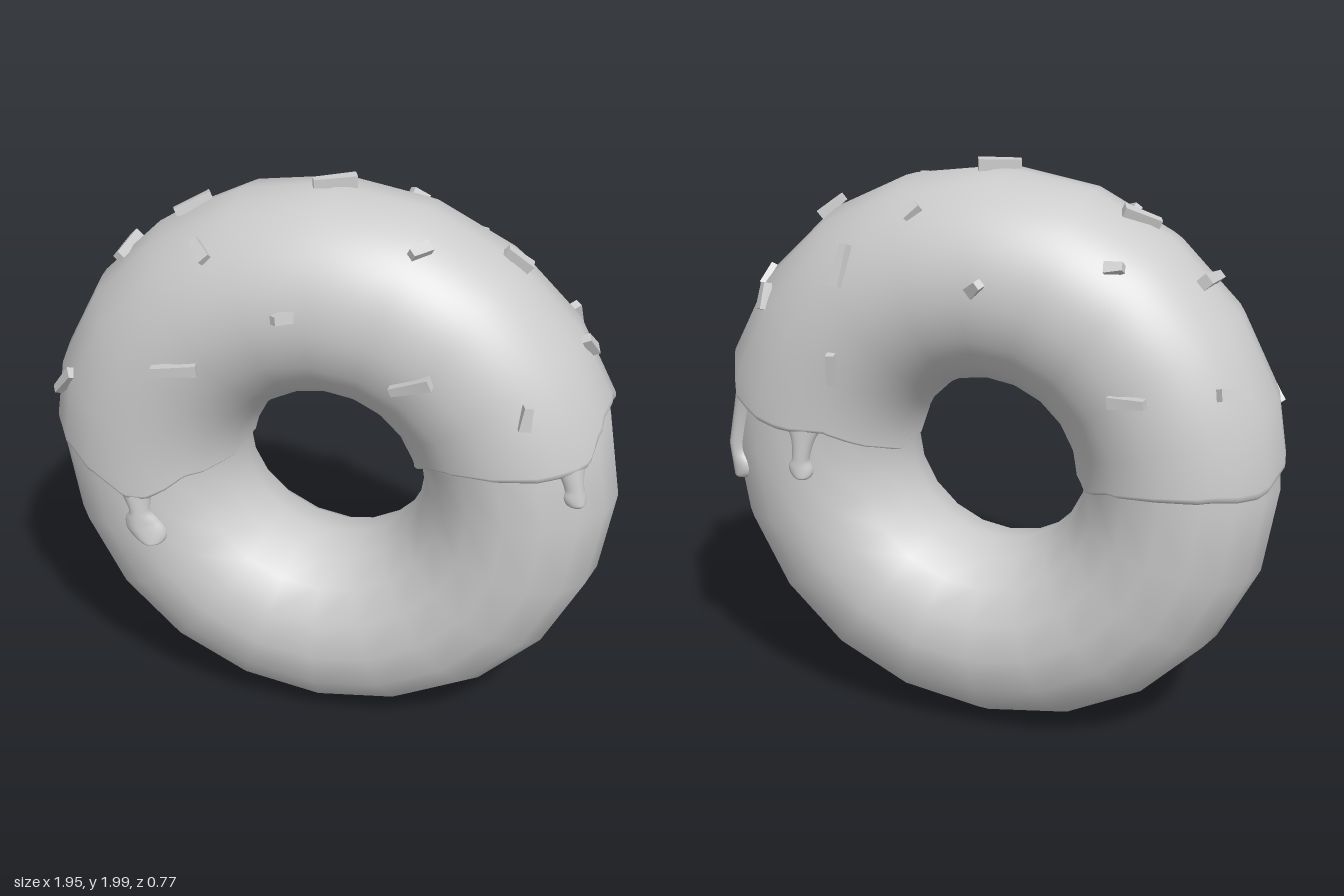
import * as THREE from 'three';

const R = 0.645, r = 0.325, RING = 20, TUBE = 16, ICE = 0.027;
const CENTER = new THREE.Vector3(0.012, 0.97, -0.01);
const rad = THREE.MathUtils.degToRad;
const gray = (extra = {}) => new THREE.MeshStandardMaterial({ color: 0xcccccc, ...extra });

// How far a regular polygon lies inside its circle at a given angle
function polygon(angle, n) {
  const step = (2 * Math.PI) / n;
  const a = ((angle % step) + step) % step;
  return Math.cos(step / 2) / Math.cos(a - step / 2);
}

const normalAt = (th, ph) => new THREE.Vector3(
  Math.cos(ph) * Math.cos(th), Math.cos(ph) * Math.sin(th), Math.sin(ph));

// Point above the ring: th runs round the ring, ph round the tube (0 outer, 90 front)
function surface(th, ph, off) {
  const tube = (r + off) * polygon(ph, TUBE);
  const rho = (R + tube * Math.cos(ph)) * polygon(th, RING);
  return new THREE.Vector3(rho * Math.cos(th), rho * Math.sin(th), tube * Math.sin(ph));
}

// Ring angle of a height y on one side (+1 left, -1 right)
function ringAngle(side, ph, y) {
  const a = Math.asin((y - CENTER.y) / (R + r * Math.cos(ph)));
  return side > 0 ? a : Math.PI - a;
}

// Grid of quads; at(i, j) returns [th, ph, off]
function grid(rows, cols, at, smoothFrom) {
  const pos = [], index = [];
  for (let i = 0; i <= rows; i++)
    for (let j = 0; j <= cols; j++) pos.push(...surface(...at(i, j)).toArray());
  for (let i = 0; i < rows; i++)
    for (let j = 0; j < cols; j++) {
      const a = i * (cols + 1) + j, b = a + cols + 1;
      index.push(a, b, a + 1, b, b + 1, a + 1);
    }
  const geo = new THREE.BufferGeometry();
  geo.setAttribute('position', new THREE.Float32BufferAttribute(pos, 3));
  geo.setIndex(index);
  geo.computeVertexNormals();
  // Ring normals away from the rim, so that the facets shade smoothly
  if (smoothFrom)
    for (let i = smoothFrom; i <= rows - smoothFrom; i++)
      for (let j = 0; j <= cols; j++) {
        const [th, ph] = at(i, j);
        geo.attributes.normal.setXYZ(i * (cols + 1) + j, ...normalAt(th, ph).toArray());
      }
  return geo;
}

// Icing edge: [degrees round the tube, height]
const LEFT_EDGE = [[0, 1.3], [15, 1.29], [27, 1.25], [35, 1.18], [55, 1.17], [90, 1.165], [115, 1.155],
  [135, 1.12], [155, 1.05], [180, 1.0], [200, 0.98], [235, 1.05], [250, 1.09], [280, 1.09],
  [305, 1.12], [322, 1.15], [332, 1.22], [345, 1.28], [360, 1.3]];
const RIGHT_EDGE = [[0, 1.04], [30, 1.02], [50, 1.0], [70, 0.955], [88, 0.89], [100, 0.885], [108, 0.91],
  [125, 0.965], [150, 0.98], [180, 1.02], [215, 0.95], [240, 1.0], [270, 1.02], [300, 1.02],
  [330, 1.0], [360, 1.04]];

function edgeHeight(points, deg) {
  const k = Math.max(1, points.findIndex((p) => p[0] >= deg));
  const [a, b] = [points[k - 1], points[k]];
  return THREE.MathUtils.mapLinear(deg, a[0], b[0], a[1], b[1]);
}

function icingGeometry() {
  const rows = 80, cols = 128;
  const rim = [[0, -0.006], [0, 0.012], [0.012, 0.023], [0.03, ICE]];
  return grid(rows, cols, (i, j) => {
    const deg = (360 * j) / cols, ph = rad(deg);
    const start = ringAngle(1, ph, edgeHeight(LEFT_EDGE, deg));
    const end = ringAngle(-1, ph, edgeHeight(RIGHT_EDGE, deg));
    if (i < 4) return [start + rim[i][0], ph, rim[i][1]];
    if (rows - i < 4) return [end - rim[rows - i][0], ph, rim[rows - i][1]];
    const u = (i - 3) / (rows - 6);
    return [THREE.MathUtils.lerp(start + 0.03, end - 0.03, u), ph, ICE];
  }, 3);
}

// Drip: flared top, neck and round bulb, wrapped onto the ring
function dripGeometry(side, deg, top, bottom, neck, bulb) {
  const rows = 28, cols = 14, yc = bottom + bulb;
  return grid(rows, cols, (i, j) => {
    const t = side > 0 ? 1 - i / rows : i / rows;
    const e = Math.sin((t * Math.PI) / 2);
    const y = THREE.MathUtils.lerp(top, bottom, e);
    const round = Math.sqrt(Math.max(0, bulb * bulb - (y - yc) ** 2));
    const stem = neck + 0.045 * (1 - e) ** 4;
    const w = y > yc ? Math.max(stem, round) : round;
    const s = -Math.cos((j / cols) * Math.PI);
    const lift = (0.027 + 0.012 * e) * Math.min(1, w / neck);
    const ph = rad(deg) + (s * w) / r;
    return [ringAngle(side, ph, y), ph, -0.004 + lift * Math.sqrt(Math.max(0, 1 - s * s))];
  });
}

const DRIPS = [
  [-1, 94, 0.93, 0.705, 0.032, 0.066],
  [1, 45, 1.21, 1.047, 0.034, 0.042],
  [1, 318, 1.2, 0.842, 0.038, 0.056],
  [1, 262, 1.12, 0.912, 0.03, 0.042],
];

// Sprinkles: [x, y, face (1 front, -1 back), length, turn, tilt]
const SPRINKLES = [
  [-0.06, 1.665, 1, 0.08, 0, 50], [-0.43, 1.43, 1, 0.15, -38, 8], [0.35, 1.48, 1, 0.14, 56, 0],
  [0.71, 1.4, 1, 0.08, -37, 15], [-0.87, 1.24, 1, 0.12, -25, 8], [-0.37, 1.8, 1, 0.09, -65, 5],
  [0.33, 1.86, 1, 0.07, 55, 10], [-0.71, 1.67, 1, 0.14, 80, 0], [-0.47, 1.85, 1, 0.13, 25, 5],
  [0.01, 1.98, -1, 0.14, 25, 0], [0.87, 1.53, -1, 0.08, 35, 12], [0.61, 1.79, -1, 0.1, 12, 5],
  [-0.03, 1.67, -1, 0.06, 45, 35], [-0.45, 1.745, -1, 0.06, 30, 30], [-0.53, 1.35, -1, 0.12, 60, 10],
  [-0.84, 1.36, -1, 0.13, 65, 0], [0.47, 1.34, -1, 0.11, 40, 5], [0.45, 1.68, -1, 0.14, 55, 5],
  [0.77, 1.51, -1, 0.09, 40, 12], [0.23, 1.86, -1, 0.06, 35, 8],
];

function placeSprinkle(mesh, x, y, face, turn, tilt) {
  const dx = x - CENTER.x, dy = y - CENTER.y;
  const th = Math.atan2(dy, dx);
  const c = THREE.MathUtils.clamp((Math.hypot(dx, dy) - R) / (r + ICE), -1, 1);
  const ph = face * Math.acos(c);
  const n = normalAt(th, ph);
  const along = new THREE.Vector3(-Math.sin(th), Math.cos(th), 0).applyAxisAngle(n, rad(turn));
  const across = new THREE.Vector3().crossVectors(along, n);
  mesh.quaternion.setFromRotationMatrix(new THREE.Matrix4().makeBasis(across, along, n));
  mesh.rotateX(rad(tilt));
  mesh.position.copy(surface(th, ph, ICE + 0.008));
}

export function createModel() {
  const model = new THREE.Group();
  model.name = 'doughnut';
  const ring = new THREE.Group();
  ring.name = 'ring';
  ring.position.copy(CENTER);
  model.add(ring);
  const add = (name, geo, mat) => {
    const mesh = new THREE.Mesh(geo, mat);
    mesh.name = name;
    ring.add(mesh);
    return mesh;
  };

  // Dough and the icing over its upper half
  add('dough', new THREE.TorusGeometry(R, r, TUBE, RING), gray());
  const icing = gray({ side: THREE.DoubleSide });
  add('icing', icingGeometry(), icing);
  DRIPS.forEach((d, i) => add(`icingDrip${i + 1}`, dripGeometry(...d), icing));

  // Tapered four-sided sprinkles lying on the icing
  const sprinkle = gray({ flatShading: true });
  SPRINKLES.forEach(([x, y, face, length, turn, tilt], i) => {
    const geo = new THREE.CylinderGeometry(0.02, 0.028, length, 4).rotateY(Math.PI / 4);
    placeSprinkle(add(`sprinkle${i + 1}`, geo, sprinkle), x, y, face, turn, tilt);
  });
  return model;
}
